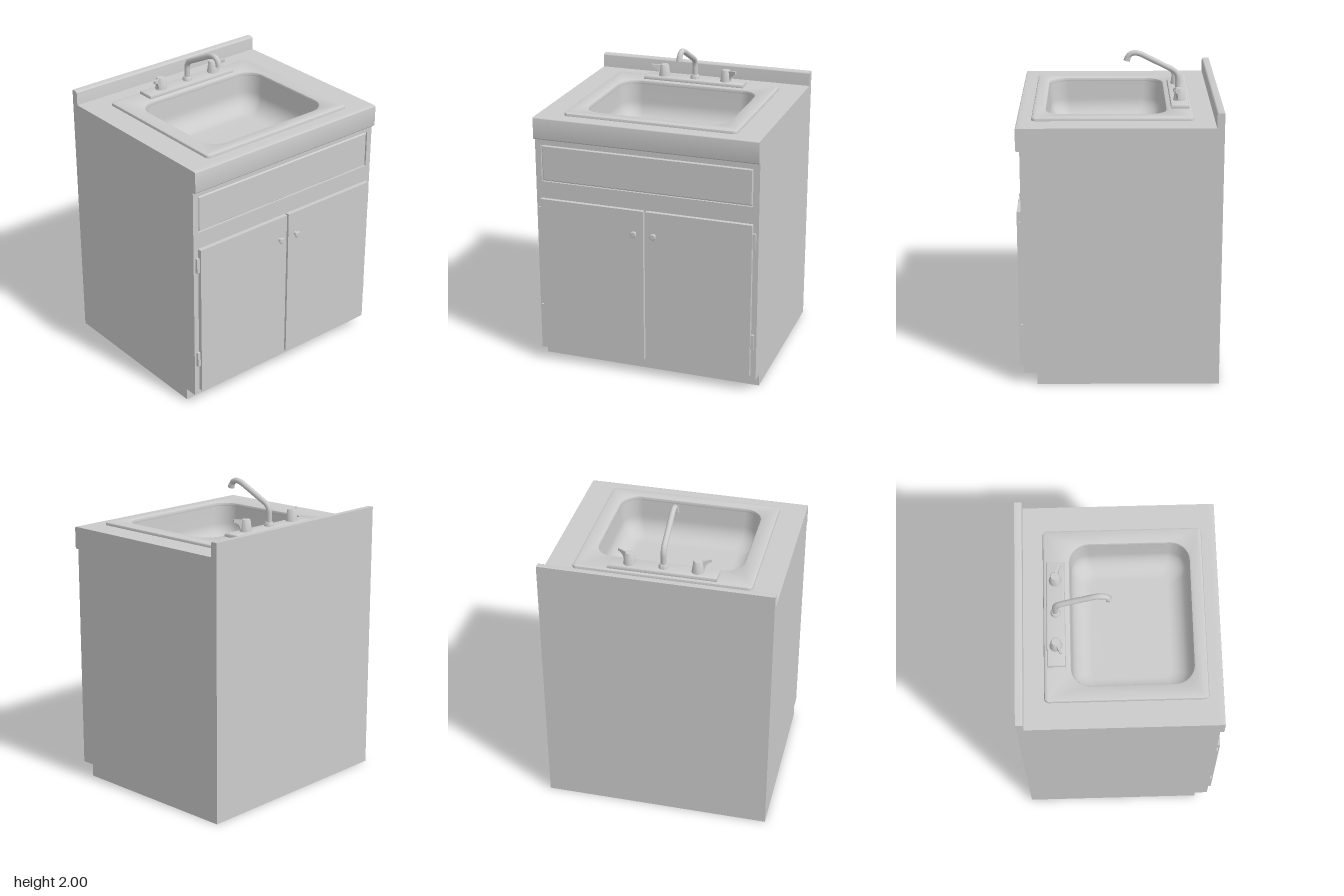
import * as THREE from 'three';
import { toCreasedNormals } from 'three/addons/utils/BufferGeometryUtils.js';

const material = new THREE.MeshStandardMaterial({ color: 0xcccccc });
const doubleSided = new THREE.MeshStandardMaterial({ color: 0xcccccc, side: THREE.DoubleSide });
const W = 0.735, BACK = -0.647, FRONT = 0.59;

export function createModel() {
  const model = new THREE.Group();
  model.name = 'sinkCabinet';

  const add = (name, geometry, parent = model, mat = material) => {
    const mesh = new THREE.Mesh(geometry, mat);
    mesh.name = name;
    parent.add(mesh);
    return mesh;
  };
  const crease = (g) => toCreasedNormals(g, 0.6);
  // Box given by its limits
  const box = (name, x0, x1, y0, y1, z0, z1) =>
    add(name, new THREE.BoxGeometry(x1 - x0, y1 - y0, z1 - z0)
      .translate((x0 + x1) / 2, (y0 + y1) / 2, (z0 + z1) / 2));
  // Outline with rounded corners
  const roundRect = (x0, x1, y0, y1, r, Type = THREE.Shape) => {
    const s = new Type();
    s.absarc(x1 - r, y1 - r, r, 0, Math.PI / 2);
    s.absarc(x0 + r, y1 - r, r, Math.PI / 2, Math.PI);
    s.absarc(x0 + r, y0 + r, r, Math.PI, Math.PI * 1.5);
    s.absarc(x1 - r, y0 + r, r, Math.PI * 1.5, Math.PI * 2);
    s.closePath();
    return s;
  };
  const rect = (x0, x1, y0, y1, Type = THREE.Shape) => new Type([
    [x0, y0], [x1, y0], [x1, y1], [x0, y1]].map((p) => new THREE.Vector2(...p)));
  // Outline in (-z, y) extruded along x
  const alongX = (shape, x0, x1) => crease(new THREE.ExtrudeGeometry(shape,
    { depth: x1 - x0, bevelEnabled: false, curveSegments: 6 }).rotateY(Math.PI / 2).translate(x0, 0, 0));
  // Outline in (x, -z) extruded upward from y
  const upward = (shape, y, depth, options = { bevelEnabled: false }) => crease(new THREE.ExtrudeGeometry(shape,
    { depth, curveSegments: 8, ...options }).rotateX(-Math.PI / 2).translate(0, y, 0));

  // Cabinet shell with toe notch
  const side = new THREE.Shape([
    [-0.505, 0], [-BACK, 0], [-BACK, 1.54], [-FRONT, 1.54], [-FRONT, 0.08], [-0.505, 0.08],
  ].map((p) => new THREE.Vector2(...p)));
  add('rightSidePanel', alongX(side, -W, -W + 0.03));
  add('leftSidePanel', alongX(side, W - 0.03, W));
  const inner = W - 0.03;
  box('backPanel', -inner, inner, 0, 1.54, BACK, BACK + 0.03);
  box('toeBoard', -inner, inner, 0, 0.08, 0.475, 0.505);
  box('basePanel', -inner, inner, 0, 0.03, BACK + 0.03, 0.475);
  box('cabinetFloor', -inner, inner, 0.08, 0.1, BACK + 0.03, FRONT - 0.03);

  // Front frame with a shallow opening for the false drawer
  const frame = rect(-inner, inner, 0.08, 1.54);
  frame.holes.push(rect(-0.697, 0.697, 1.257, 1.503, THREE.Path));
  add('frontFrame', new THREE.ExtrudeGeometry(frame, { depth: 0.03, bevelEnabled: false })
    .translate(0, 0, FRONT - 0.03));
  box('drawerRecess', -inner, inner, 1.24, 1.52, FRONT - 0.04, FRONT - 0.012);
  add('drawerPanel', new THREE.ExtrudeGeometry(rect(-0.691, 0.691, 1.263, 1.497),
    { depth: 0.01, bevelSize: 0.006, bevelOffset: -0.006, bevelThickness: 0.008, bevelSegments: 1 })
    .translate(0, 0, FRONT - 0.018));

  // Doors, hinges and knobs
  const knobProfile = [[0, 0], [0.012, 0], [0.009, 0.008], [0.009, 0.016], [0.02, 0.019],
    [0.021, 0.025], [0.016, 0.03], [0, 0.031]].map((p) => new THREE.Vector2(...p));
  for (const [label, s] of [['right', -1], ['left', 1]]) {
    const span = (a, b) => (s > 0 ? [a, b] : [-b, -a]);
    box(label + 'Door', ...span(0.007, 0.7), 0.115, 1.145, FRONT, 0.617);
    for (const y of [0.3, 0.985]) box(label + 'Hinge', ...span(0.7, 0.72), y, y + 0.1, FRONT, 0.606);
    const knob = add(label + 'Knob', crease(new THREE.LatheGeometry(knobProfile, 20)));
    knob.rotation.x = Math.PI / 2;
    knob.position.set(s * 0.065, 0.993, 0.617);
  }

  // Countertop slab, rounded nosing and backsplash
  const slab = rect(-W, W, -0.575, 0.6);
  slab.holes.push(rect(-0.5, 0.5, -0.48, 0.345, THREE.Path));
  add('countertop', upward(slab, 1.54, 0.145));
  const nosing = new THREE.Shape();
  nosing.moveTo(-0.575, 1.54);
  nosing.lineTo(-0.575, 1.685);
  nosing.lineTo(-0.605, 1.685);
  nosing.quadraticCurveTo(-0.615, 1.685, -0.615, 1.675);
  nosing.lineTo(-0.615, 1.555);
  nosing.quadraticCurveTo(-0.615, 1.54, -0.6, 1.54);
  add('counterNosing', alongX(nosing, -W, W));
  const splash = new THREE.Shape();
  splash.moveTo(0.6, 1.54);
  splash.lineTo(-BACK, 1.54);
  splash.lineTo(-BACK, 1.777);
  splash.lineTo(0.615, 1.777);
  splash.quadraticCurveTo(0.6, 1.777, 0.6, 1.762);
  add('backsplash', alongX(splash, -W, W));

  // Sink rim
  const rim = roundRect(-0.568, 0.568, -0.525, 0.475, 0.03);
  rim.holes.push(roundRect(-0.465, 0.465, -0.44, 0.308, 0.12, THREE.Path));
  add('sinkRim', upward(rim, 1.682, 0.005,
    { bevelSize: 0.015, bevelOffset: 0, bevelThickness: 0.018, bevelSegments: 2, ...{ bevelOffset: -0.015 } }));

  // Basin: rounded rectangles lofted down to a filleted floor
  const levels = [[0, 1.69], [0.004, 1.62], [0.008, 1.565]];
  for (let i = 1; i <= 10; i++) {
    const a = (i / 10) * Math.PI / 2;
    levels.push([0.008 + 0.125 * (1 - Math.cos(a)), 1.565 - 0.125 * Math.sin(a)]);
  }
  const positions = [], index = [], K = 10, N = 4 * (K + 1);
  const ring = (hx, hz, r, y) => {
    for (let c = 0; c < 4; c++) for (let k = 0; k <= K; k++) {
      const a = (c + k / K) * Math.PI / 2;
      const sx = c === 0 || c === 3 ? 1 : -1, sz = c < 2 ? 1 : -1;
      positions.push(sx * (hx - r) + r * Math.cos(a), y, 0.066 + sz * (hz - r) + r * Math.sin(a));
    }
  };
  for (const [inset, y] of levels) ring(0.467 - inset, 0.376 - inset, Math.max(0.122 - inset * 0.6, 0.03), y);
  ring(0, 0, 0, 1.44);
  for (let i = 0; i < levels.length; i++) for (let j = 0; j < N; j++) {
    const a = i * N + j, b = i * N + (j + 1) % N;
    index.push(a, a + N, b, b, a + N, b + N);
  }
  const basin = new THREE.BufferGeometry();
  basin.setAttribute('position', new THREE.Float32BufferAttribute(positions, 3));
  basin.setIndex(index);
  basin.computeVertexNormals();
  add('basin', basin, model, doubleSided);

  // Faucet deck plate
  const faucet = new THREE.Group();
  faucet.name = 'faucet';
  model.add(faucet);
  add('deckPlate', upward(rect(-0.345, 0.345, 0.34, 0.455), 1.703, 0.012,
    { bevelSize: 0.012, bevelOffset: -0.012, bevelThickness: 0.012, bevelSegments: 2 }), faucet);

  // Spout: collar, bent tube and nozzle
  const collar = [[0.032, 1.72], [0.03, 1.74], [0.024, 1.752], [0, 1.755]].map((p) => new THREE.Vector2(...p));
  add('spoutCollar', crease(new THREE.LatheGeometry(collar, 20)), faucet).position.z = -0.398;
  const v = (y, z) => new THREE.Vector3(0, y, z);
  const path = new THREE.CurvePath();
  path.add(new THREE.LineCurve3(v(1.73, -0.398), v(1.81, -0.398)));
  path.add(new THREE.QuadraticBezierCurve3(v(1.81, -0.398), v(1.852, -0.398), v(1.872, -0.36)));
  path.add(new THREE.LineCurve3(v(1.872, -0.36), v(1.965, -0.175)));
  path.add(new THREE.CubicBezierCurve3(v(1.965, -0.175), v(1.99, -0.125), v(1.985, -0.085), v(1.945, -0.072)));
  add('spout', new THREE.TubeGeometry(path, 60, 0.018, 14), faucet);
  const nozzle = add('nozzle', new THREE.CylinderGeometry(0.02, 0.021, 0.024, 16), faucet);
  nozzle.position.set(0, 1.941, -0.071);
  nozzle.rotation.x = -0.3;

  // Lever handles
  const body = [[0, 0], [0.04, 0], [0.037, 0.012], [0.029, 0.07], [0.025, 0.077], [0, 0.078]]
    .map((p) => new THREE.Vector2(...p));
  const lever = new THREE.Shape();
  lever.moveTo(0, 0.01);
  lever.lineTo(0.038, 0.01);
  lever.quadraticCurveTo(0.046, 0.058, 0.084, 0.062);
  lever.lineTo(0.084, 0.08);
  lever.quadraticCurveTo(0.05, 0.078, 0, 0.07);
  for (const [label, s] of [['right', -1], ['left', 1]]) {
    const handle = new THREE.Group();
    handle.name = label + 'Handle';
    handle.position.set(s * 0.215, 1.726, -0.398);
    handle.rotation.y = s > 0 ? -0.41 : Math.PI + 0.41;
    faucet.add(handle);
    add('handleBody', crease(new THREE.LatheGeometry(body, 20)), handle);
    add('lever', crease(new THREE.ExtrudeGeometry(lever, { depth: 0.014, bevelEnabled: false, curveSegments: 6 })
      .translate(0, 0, -0.007)), handle);
  }
  return model;
}
